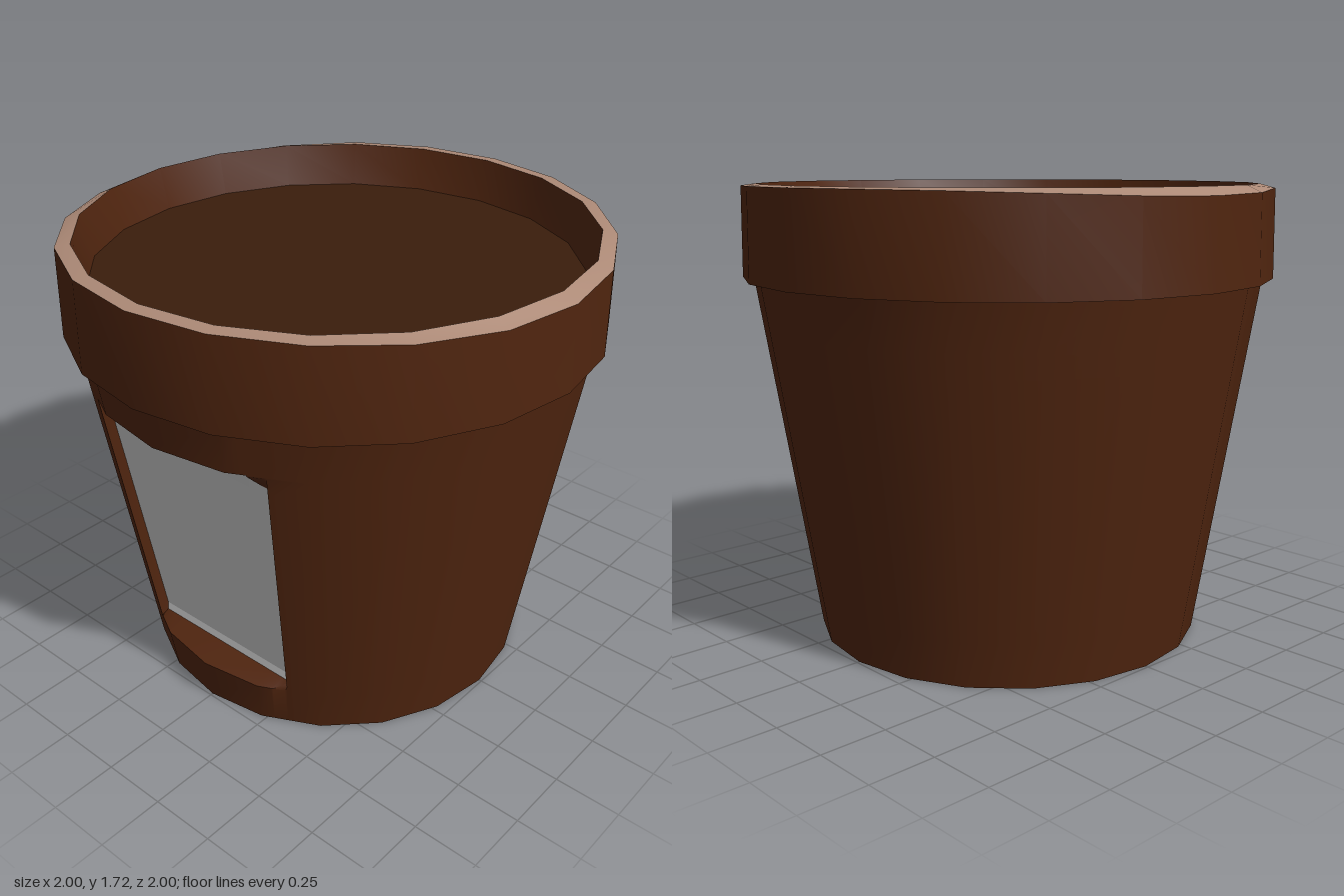
import * as THREE from 'three';
import { toCreasedNormals } from 'three/addons/utils/BufferGeometryUtils.js';

const SIDES = 20;
const STEP = 360 / SIDES;
const CLAY = 0x50250f, PALE = 0xac8976, SOIL = 0x3a1d0c, GREY = 0xcccccc;
const LIP_Y = 1.715;

function part(name, geometry, color) {
  const mesh = new THREE.Mesh(geometry, new THREE.MeshStandardMaterial({ color }));
  mesh.name = name;
  return mesh;
}

function ring(name, profile, color) {
  const points = profile.map(([r, y]) => new THREE.Vector2(r, y));
  const geometry = new THREE.LatheGeometry(points, SIDES);
  // The outer edge of the lip dips slightly at the front and back
  const position = geometry.attributes.position;
  for (let i = 0; i < position.count; i++) {
    if (Math.abs(position.getY(i) - LIP_Y) < 0.001) {
      position.setY(i, LIP_Y - 0.025 * position.getZ(i) ** 4);
    }
  }
  return part(name, toCreasedNormals(geometry, 0.6), color);
}

function disc(name, radius, y, up, color) {
  const geometry = new THREE.CircleGeometry(radius, SIDES);
  geometry.rotateX(up ? -Math.PI / 2 : Math.PI / 2);
  geometry.translate(0, y, 0);
  return part(name, geometry, color);
}

// Tapered twenty-sided wall; inside the recess it stops short of its full reach towards -x
function wallPoint(degrees, { y, limit, width }) {
  const a = THREE.MathUtils.degToRad(degrees);
  const half = THREE.MathUtils.degToRad(STEP / 2);
  const within = THREE.MathUtils.degToRad(THREE.MathUtils.euclideanModulo(degrees, STEP)) - half;
  const r = (0.74 + 0.16 * y) * Math.cos(half) / Math.cos(within);
  const x = -r * Math.cos(a);
  return [Math.abs(degrees) < width ? Math.max(x, -limit) : x, y, r * Math.sin(a)];
}

function buildWall() {
  // Height, recess depth and recess half-angle of each row
  const rows = [[0, 0, 0], [0.17, 0, 0], [0.19, 0.65, 26.5], [0.22, 0.645, 26.5],
    [1.12, 0.775, 26.5], [1.195, 0.79, 22.5], [1.2, 0, 0], [1.375, 0, 0]]
    .map(([y, limit, width]) => ({ y, limit, width }));
  // Polygon corners plus the recess edges
  const columns = [-26.7, -26, -22.6, -22, 22, 22.6, 26, 26.7];
  for (let i = 0; i <= SIDES; i++) columns.push(-180 + i * STEP);
  columns.sort((a, b) => a - b);

  const clay = [], grey = [];
  for (let j = 0; j < rows.length - 1; j++) {
    const [low, high] = [rows[j], rows[j + 1]];
    for (let i = 0; i < columns.length - 1; i++) {
      const [a0, a1] = [columns[i], columns[i + 1]];
      const p = wallPoint(a0, low), q = wallPoint(a1, low);
      const s = wallPoint(a1, high), t = wallPoint(a0, high);
      const isPanel = Math.max(Math.abs(a0), Math.abs(a1)) < Math.min(low.width, high.width);
      (isPanel ? grey : clay).push(...p, ...q, ...s, ...p, ...s, ...t);
    }
  }
  const toMesh = (name, positions, crease, color) => {
    const geometry = new THREE.BufferGeometry();
    geometry.setAttribute('position', new THREE.Float32BufferAttribute(positions, 3));
    return part(name, toCreasedNormals(geometry, crease), color);
  };
  return [toMesh('potWall', clay, 1.2, CLAY), toMesh('recessPanel', grey, 0.3, GREY)];
}

export function createModel() {
  const pot = new THREE.Group();
  pot.name = 'flowerPot';
  pot.add(...buildWall());
  pot.add(disc('potBase', 0.74, 0, false, CLAY));

  // Collar with a pale bevelled lip and an inner wall down to the soil
  pot.add(ring('collar', [[0.95, 1.375], [1, 1.375], [0.995, LIP_Y]], CLAY));
  pot.add(ring('lip', [[0.995, LIP_Y], [0.94, 1.72]], PALE));
  pot.add(ring('innerWall', [[0.94, 1.72], [0.9, 1.56]], CLAY));
  pot.add(disc('soil', 0.9, 1.56, true, SOIL));
  return pot;
}
